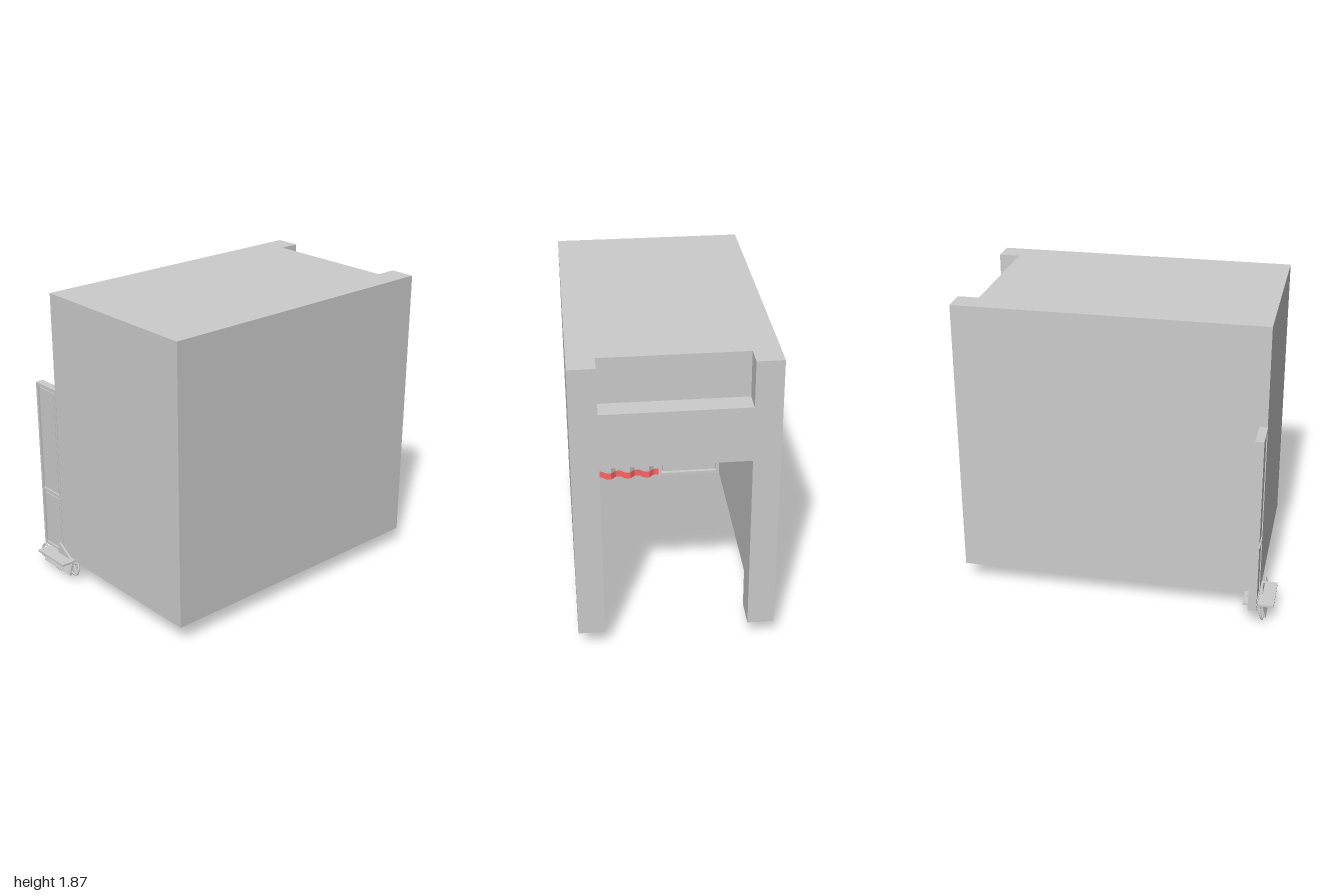
import * as THREE from 'three';

const grey = new THREE.MeshStandardMaterial({ color: 0xcccccc, side: THREE.DoubleSide });
const red = new THREE.MeshStandardMaterial({ color: 0xff6666, side: THREE.DoubleSide });

function add(parent, name, geometry, material = grey) {
  const mesh = new THREE.Mesh(geometry, material);
  mesh.name = name;
  parent.add(mesh);
  return mesh;
}

// Box given by its limits along each axis
function box(parent, name, [x0, x1], [y0, y1], [z0, z1], material) {
  const mesh = add(parent, name, new THREE.BoxGeometry(x1 - x0, y1 - y0, z1 - z0), material);
  mesh.position.set((x0 + x1) / 2, (y0 + y1) / 2, (z0 + z1) / 2);
  return mesh;
}

// Floor-plan outline of [x, z] points raised from y0 to y1
function plan(parent, name, points, y0, y1, material) {
  const shape = new THREE.Shape(points.map(([x, z]) => new THREE.Vector2(x, -z)));
  const geometry = new THREE.ExtrudeGeometry(shape, { depth: y1 - y0, bevelEnabled: false });
  geometry.rotateX(-Math.PI / 2).translate(0, y0, 0);
  return add(parent, name, geometry, material);
}

// Rectangular frame standing in the zy plane, thickness along x
function frame(parent, name, [x0, x1], [y0, y1], [z0, z1], w) {
  box(parent, name + 'Bottom', [x0, x1], [y0, y0 + w], [z0, z1]);
  box(parent, name + 'Top', [x0, x1], [y1 - w, y1], [z0, z1]);
  box(parent, name + 'Back', [x0, x1], [y0 + w, y1 - w], [z0, z0 + w]);
  box(parent, name + 'Front', [x0, x1], [y0 + w, y1 - w], [z1 - w, z1]);
}

function tube(parent, name, points, radius, closed = false) {
  const curve = new THREE.CatmullRomCurve3(points.map((p) => new THREE.Vector3(...p)), closed);
  return add(parent, name, new THREE.TubeGeometry(curve, 32, radius, 6, closed));
}

export function createModel() {
  const model = new THREE.Group();
  model.name = 'building';
  const base = 0.11;

  // Walls with entrance pillars, open underneath
  plan(model, 'walls', [
    [1, 0.69], [-0.9, 0.69], [-0.9, -0.49], [1, -0.49], [1, -0.33], [0.82, -0.33],
    [0.82, -0.39], [-0.76, -0.39], [-0.76, 0.575], [0.83, 0.575], [0.83, 0.53], [1, 0.53],
  ], base, 1.46);

  // Thick roof with a sign recess, and the lintel below it
  plan(model, 'roof', [
    [1, 0.69], [-0.9, 0.69], [-0.9, -0.49], [1, -0.49],
    [1, -0.33], [0.87, -0.33], [0.87, 0.53], [1, 0.53],
  ], 1.46, 1.87);
  box(model, 'lintel', [0.825, 1], [1.25, 1.59], [-0.33, 0.53]);

  // Corrugated counter with a red skirting
  const ridge = [[-0.77, 0.05]];
  const folds = 14;
  for (let i = 0; i <= folds; i++) {
    const z = 0.05 + (i / folds) * 0.48;
    ridge.push([i % 4 < 2 ? -0.755 : -0.722, z]);
  }
  ridge.push([-0.77, 0.53]);
  plan(model, 'corrugatedPanel', ridge, 0.16, 0.37);
  plan(model, 'redSkirting', ridge, base, 0.16, red);

  // Inner doorway on the end wall
  frame(model, 'innerDoorFrame', [-0.76, -0.735], [base, 0.59], [-0.39, 0.05], 0.022);
  box(model, 'innerDoorPanel', [-0.76, -0.745], [0.145, 0.555], [-0.355, 0.018]);

  // Open door standing out behind the building
  const door = new THREE.Group();
  door.name = 'openDoor';
  model.add(door);
  box(door, 'doorCore', [-0.89, -0.862], [0.12, 1.25], [-0.695, -0.485]);
  frame(door, 'doorFrame', [-0.902, -0.85], [0.12, 1.25], [-0.695, -0.485], 0.018);
  box(door, 'doorRail', [-0.902, -0.85], [0.51, 0.53], [-0.68, -0.5]);
  for (const y of [[0.15, 0.498], [0.543, 1.22]]) {
    box(door, 'doorPanel', [-0.897, -0.855], y, [-0.667, -0.513]);
  }
  box(door, 'doorHandle', [-0.855, -0.835], [0.172, 0.184], [-0.63, -0.57]);

  // Small step with its ornamental bracket
  const step = new THREE.Group();
  step.name = 'step';
  model.add(step);
  box(step, 'stepPlate', [-1, -0.81], [0.112, 0.125], [-0.63, -0.355]);
  const gusset = new THREE.Shape([
    new THREE.Vector2(0.355, 0.11), new THREE.Vector2(0.52, 0.11), new THREE.Vector2(0.5, 0.2),
  ]);
  const gussetMesh = add(step, 'stepGusset',
    new THREE.ExtrudeGeometry(gusset, { depth: 0.012, bevelEnabled: false }));
  gussetMesh.rotation.y = Math.PI / 2;
  gussetMesh.position.x = -0.922;

  const bracket = new THREE.Group();
  bracket.name = 'bracket';
  bracket.position.set(-0.925, 0.115, -0.49);
  bracket.rotation.z = -0.28;
  step.add(bracket);
  box(bracket, 'bracketBoard', [-0.008, 0.008], [-0.085, 0.005], [-0.14, 0.14]);
  tube(bracket, 'bracketRim', [
    [0.012, -0.005, -0.13], [0.012, -0.07, -0.1], [0.012, -0.09, 0],
    [0.012, -0.07, 0.1], [0.012, -0.005, 0.13],
  ], 0.007);
  for (const z of [-0.075, 0, 0.075]) {
    const ring = add(bracket, 'scrollRing', new THREE.TorusGeometry(0.025, 0.006, 6, 16));
    ring.rotation.y = Math.PI / 2;
    ring.position.set(0.014, -0.04, z);
  }
  for (const s of [-1, 1]) {
    tube(bracket, 'endScroll', [
      [0.005, -0.06, s * 0.13], [0.005, -0.06, s * 0.19], [0.005, -0.025, s * 0.2],
      [0.005, 0.01, s * 0.185], [0.005, -0.005, s * 0.15], [0.005, -0.03, s * 0.17],
    ], 0.007);
  }
  // Pendant reaching the ground
  const pendant = add(step, 'pendant', new THREE.ConeGeometry(0.012, 0.07, 8));
  pendant.rotation.x = Math.PI;
  pendant.position.set(-0.903, 0.035, -0.48);

  return model;
}
